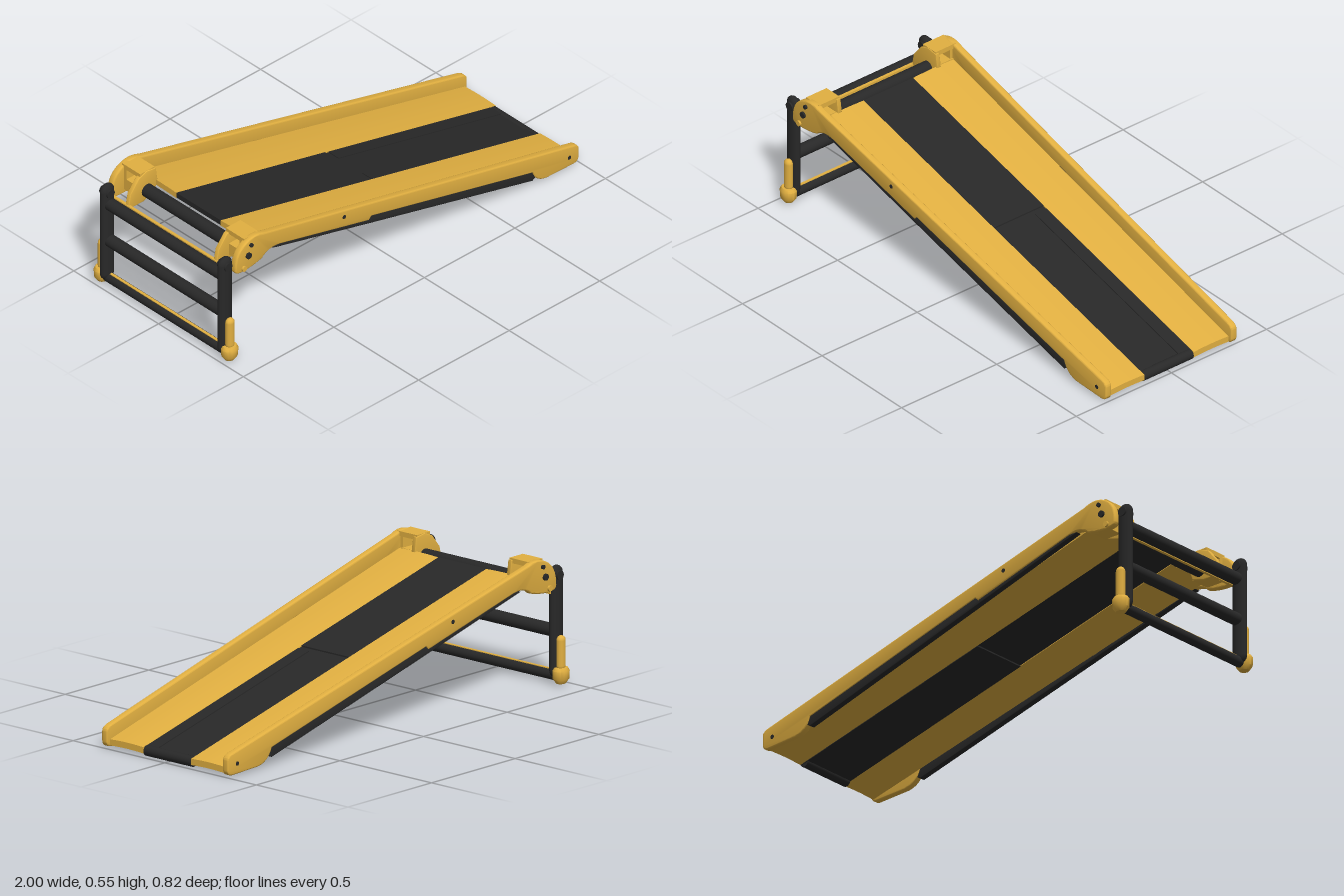
import * as THREE from 'three';
import { toCreasedNormals } from 'three/addons/utils/BufferGeometryUtils.js';

const yellow = new THREE.MeshStandardMaterial({ color: 0xe2b041 });
yellow.name = 'yellow';
const black = new THREE.MeshStandardMaterial({ color: 0x282828 });
black.name = 'black';

// heights and widths along the slope
const deckY = x => 0.475 - (x + 0.78) * 0.247;
const railZ = x => 0.363 - 0.018 * (x + 0.85);

export function createModel() {
  const model = new THREE.Group();
  model.name = 'ramp';

  const add = (name, geo, mat, x = 0, y = 0, z = 0) => {
    const m = new THREE.Mesh(geo, mat);
    m.name = name;
    m.position.set(x, y, z);
    model.add(m);
  };
  const box = (name, mat, x0, x1, y0, y1, z0, z1) =>
    add(name, new THREE.BoxGeometry(x1 - x0, y1 - y0, Math.abs(z1 - z0)), mat,
      (x0 + x1) / 2, (y0 + y1) / 2, (z0 + z1) / 2);
  const rodZ = (name, mat, r, len, x, y, z = 0, sides = 20) =>
    add(name, new THREE.CylinderGeometry(r, r, len, sides).rotateX(Math.PI / 2), mat, x, y, z);

  // a side-view outline given depth, then slanted inwards towards the low end
  const sidePlate = (name, mat, shape, depth, side, bevel = 0.006, zAt = railZ) => {
    let g = new THREE.ExtrudeGeometry(shape, {
      depth: depth - 2 * bevel, bevelThickness: bevel, bevelSize: bevel,
      bevelOffset: -bevel, bevelSegments: 3, curveSegments: 8,
    });
    g.translate(0, 0, bevel - depth / 2);
    const p = g.attributes.position;
    for (let i = 0; i < p.count; i++) p.setZ(i, p.getZ(i) + side * zAt(p.getX(i)));
    g.deleteAttribute('normal');
    g = toCreasedNormals(g, 0.6);
    add(name, g, mat);
  };
  const poly = pts => new THREE.Shape(pts.map(([x, y]) => new THREE.Vector2(x, y)));

  // a sloping board whose z edges and crown follow functions
  const board = (name, mat, x0, x1, zA, zB, lift, thick, crown) => {
    const g = new THREE.BoxGeometry(1, 1, 1, 12, 1, 12);
    const p = g.attributes.position;
    for (let i = 0; i < p.count; i++) {
      const x = x0 + (p.getX(i) + 0.5) * (x1 - x0), t = p.getZ(i) + 0.5;
      const top = deckY(x) + lift + crown * (Math.sin(Math.PI * t) - 1);
      p.setXYZ(i, x, top + (p.getY(i) - 0.5) * thick, zA(x) + t * (zB(x) - zA(x)));
    }
    g.computeVertexNormals();
    add(name, g, mat);
  };

  // centre deck: upper board overlapping the lower one, with raised borders
  board('upperCentreBoard', black, -0.78, 0.04, () => -0.13, () => 0.13, 0, 0.024, 0);
  board('lowerCentreBoard', black, 0.03, 0.98, () => -0.13, () => 0.13, -0.006, 0.024, 0);
  rodZ('centreLip', black, 0.022, 0.256, 0.966, 0.022);
  for (const a of [-0.13, 0.07])
    board('centreBorder', black, 0.06, 0.96, () => a, () => a + 0.06, -0.002, 0.006, 0);

  // side rail outline with round head at the high end and blunt toe at the low end
  const rail = new THREE.Shape();
  rail.moveTo(-0.93, 0.425);
  rail.quadraticCurveTo(-0.93, 0.5, -0.875, 0.53);
  rail.quadraticCurveTo(-0.82, 0.56, -0.76, 0.532);
  rail.lineTo(0.97, 0.097);
  rail.quadraticCurveTo(1, 0.088, 1, 0.07);
  rail.lineTo(1, 0.03);
  rail.quadraticCurveTo(0.998, 0.005, 0.97, 0.005);
  rail.lineTo(0.82, 0.012);
  rail.quadraticCurveTo(0.76, 0.02, 0.74, 0.076);
  rail.lineTo(-0.165, 0.316);
  rail.lineTo(-0.18, 0.302);
  rail.lineTo(-0.68, 0.436);
  rail.quadraticCurveTo(-0.745, 0.45, -0.78, 0.415);
  rail.quadraticCurveTo(-0.85, 0.395, -0.905, 0.402);
  rail.quadraticCurveTo(-0.93, 0.405, -0.93, 0.425);

  // black runner beneath each rail
  const runner = poly([[-0.72, 0.436], [-0.68, 0.438], [-0.18, 0.304], [-0.165, 0.318],
    [0.74, 0.078], [0.755, 0.045], [0.74, 0.036], [-0.18, 0.286], [-0.68, 0.424]]);

  for (const s of [-1, 1]) {
    const inner = () => s * 0.13, outer = x => s * (railZ(x) - 0.018);
    board('sideDeck', yellow, -0.78, 0.985, s > 0 ? inner : outer, s > 0 ? outer : inner,
      0.002, 0.026, 0.003);
    sidePlate('sideRail', yellow, rail, 0.03, s);
    sidePlate('railRunner', black, runner, 0.026, s, 0.002);

    // pivot bracket on the inside of the rail head
    const cheek = poly([[-0.93, 0.42], [-0.92, 0.47], [-0.875, 0.525], [-0.83, 0.543],
      [-0.78, 0.535], [-0.77, 0.47], [-0.79, 0.42], [-0.85, 0.402], [-0.91, 0.402]]);
    sidePlate('bracketCheek', yellow, cheek, 0.02, s, 0.003, () => 0.26);
    box('bracketTop', yellow, -0.865, -0.785, 0.522, 0.543, s * 0.253, s * 0.36);
    box('bracketBase', yellow, -0.865, -0.785, 0.42, 0.475, s * 0.258, s * 0.36);
    box('bracketOuterWall', yellow, -0.865, -0.79, 0.43, 0.54, s * 0.334, s * 0.36);

    // bolts through the rail
    for (const [mat, x, y, r] of [[black, -0.86, 0.47, 0.014], [black, -0.845, 0.515, 0.009],
      [yellow, -0.885, 0.418, 0.012], [black, -0.32, 0.39, 0.009], [black, 0.945, 0.05, 0.009]]) {
      const proud = x < -0.8 ? 0.009 : 0.002;
      rodZ('bolt', mat, r, 0.03, x, y, s * (railZ(x) + proud), 12);
    }

    // support leg with rounded top, sleeve and foot
    add('leg', new THREE.CapsuleGeometry(0.035, 0.4, 6, 16).scale(1, 1, 0.6), black,
      -0.96, 0.26, s * 0.347);
    rodZ('legPivot', black, 0.02, 0.05, -0.96, 0.455, s * 0.347, 16);
    add('legSleeve', new THREE.CapsuleGeometry(0.021, 0.105, 4, 12).scale(1, 1, 0.85), yellow,
      -0.958, 0.133, s * 0.376);
    const foot = new THREE.LatheGeometry([[0, 0.005], [0.022, 0.006], [0.036, 0.025],
      [0.038, 0.06], [0.03, 0.072], [0, 0.074]].map(([a, b]) => new THREE.Vector2(a, b)), 16);
    add('foot', toCreasedNormals(foot.scale(1, 1, 0.88), 0.7), yellow, -0.959, 0, s * 0.375);
  }

  // top rod between brackets and rungs between legs
  rodZ('topRod', black, 0.029, 0.52, -0.83, 0.45);
  for (const [y, r] of [[0.4, 0.027], [0.22, 0.027], [0.035, 0.022]])
    rodZ('legRung', black, r, 0.7, -0.958, y);
  box('upperRungTrim', yellow, -0.935, -0.922, 0.38, 0.42, -0.35, 0.35);
  box('lowerRungTrim', yellow, -0.964, -0.952, 0.05, 0.059, -0.35, 0.35);

  return model;
}
